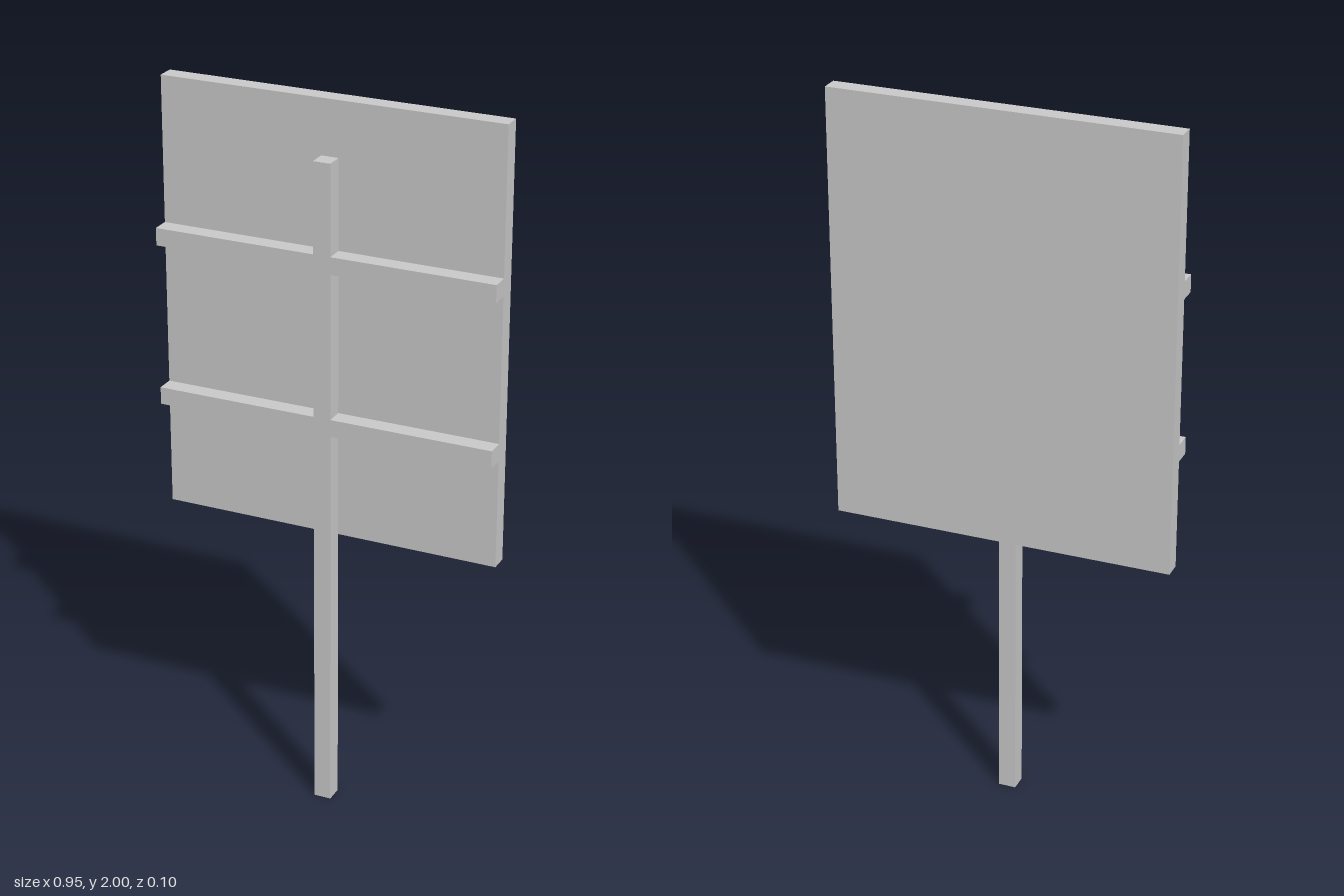
import * as THREE from 'three';

export function createModel() {
  const group = new THREE.Group();
  const material = new THREE.MeshStandardMaterial({ color: 0xcccccc, flatShading: true });

  // Box given by its lower and upper corners
  const addBox = (name, [x0, y0, z0], [x1, y1, z1]) => {
    const mesh = new THREE.Mesh(new THREE.BoxGeometry(x1 - x0, y1 - y0, z1 - z0), material);
    mesh.position.set((x0 + x1) / 2, (y0 + y1) / 2, (z0 + z1) / 2);
    mesh.name = name;
    group.add(mesh);
  };

  const halfWidth = 0.474, halfPost = 0.024, depth = 0.049;

  // Sign board behind the frame
  addBox('board', [-halfWidth, 0.8, -depth], [halfWidth, 2, 0]);

  // Upright post
  addBox('post', [-halfPost, 0, 0], [halfPost, 1.85, depth]);

  // Two cross rails, each butting against both sides of the post
  for (const [label, y] of [['lower', 1.105], ['upper', 1.555]]) {
    addBox(`${label}RailLeft`, [halfPost, y, 0], [halfWidth, y + 0.048, depth]);
    addBox(`${label}RailRight`, [-halfWidth, y, 0], [-halfPost, y + 0.048, depth]);
  }

  return group;
}
